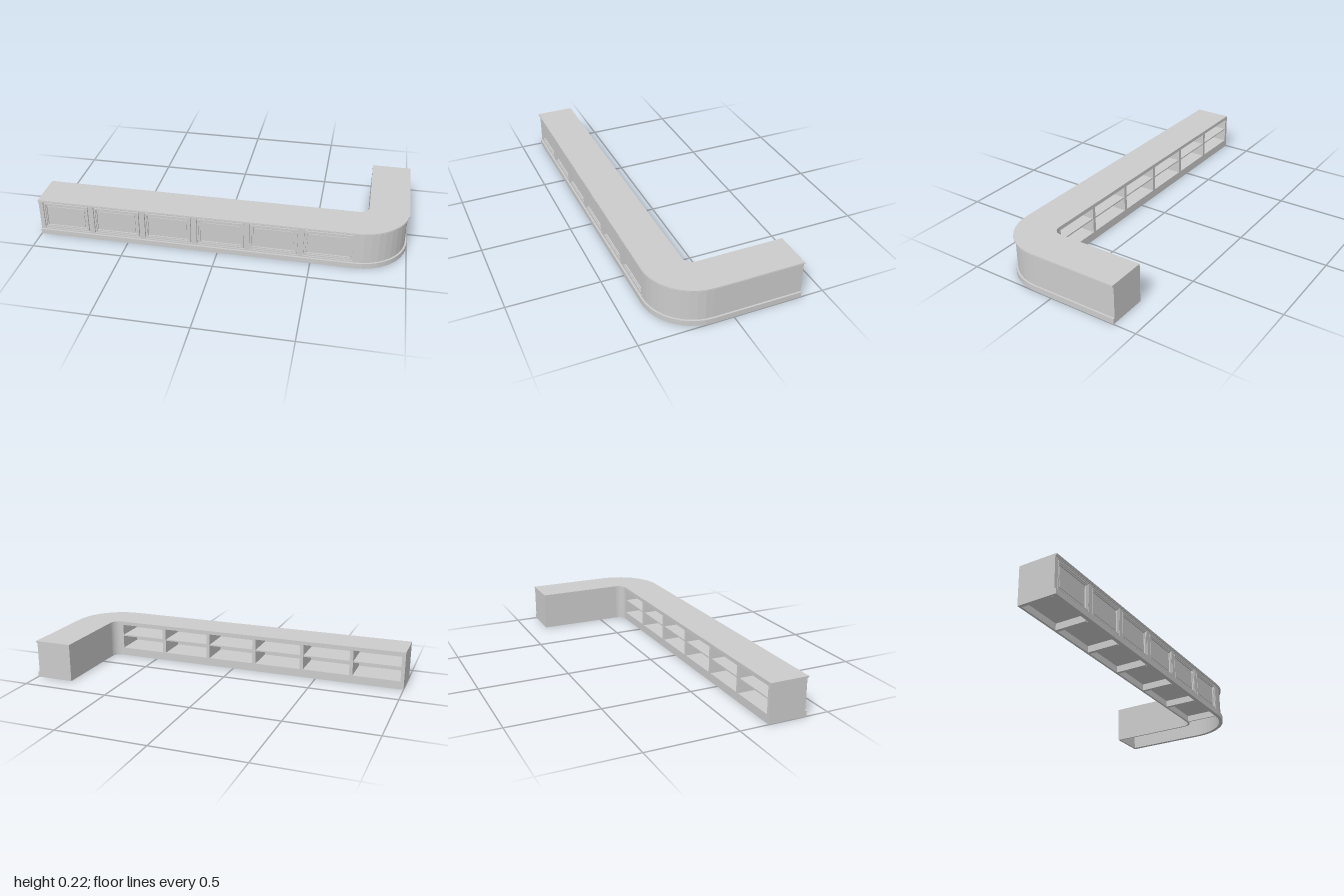
import * as THREE from 'three';

const material = new THREE.MeshStandardMaterial({ color: 0xcccccc, side: THREE.DoubleSide });
// Bend centre of the L-shaped counter and the limits of its two arms
const CX = 0.733, CZ = 0.108, X_END = -1, Z_END = -0.375;
const R_OUT = 0.267, R_IN = 0.05;
const BAYS = 6, PITCH = 0.2875, FIRST = -0.99;

export function createModel() {
  const model = new THREE.Group();

  function add(name, geometry, parent = model) {
    const mesh = new THREE.Mesh(geometry, material);
    mesh.name = name;
    parent.add(mesh);
    return mesh;
  }

  // Box given by its limits on each axis
  function box(name, x0, x1, y0, y1, z0, z1, parent) {
    const g = new THREE.BoxGeometry(x1 - x0, y1 - y0, z1 - z0);
    g.translate((x0 + x1) / 2, (y0 + y1) / 2, (z0 + z1) / 2);
    return add(name, g, parent);
  }

  // Line that follows the counter at radius r around the bend
  function bendLine(r, xStart) {
    const pts = [new THREE.Vector2(xStart, -(CZ + r))];
    const steps = 10;
    for (let i = 0; i <= steps; i++) {
      const a = (i / steps) * Math.PI / 2;
      pts.push(new THREE.Vector2(CX + r * Math.sin(a), -(CZ + r * Math.cos(a))));
    }
    pts.push(new THREE.Vector2(CX + r, -Z_END));
    return pts;
  }

  // Upright band between two radii
  function band(name, rOuter, rInner, y0, y1, xStart = X_END) {
    const shape = new THREE.Shape([...bendLine(rOuter, xStart), ...bendLine(rInner, xStart).reverse()]);
    const g = new THREE.ExtrudeGeometry(shape, { depth: y1 - y0, bevelEnabled: false });
    g.rotateX(-Math.PI / 2);
    g.translate(0, y0, 0);
    return add(name, g);
  }

  function rectangle(PathType, x0, x1, y0, y1) {
    return new PathType([[x0, y0], [x1, y0], [x1, y1], [x0, y1]].map(p => new THREE.Vector2(...p)));
  }

  // Countertop with a stepped edge, and plinth
  band('countertopLip', R_OUT - 0.004, R_IN, 0.204, 0.208);
  band('countertop', R_OUT, R_IN, 0.208, 0.212);
  band('countertopUpperEdge', R_OUT - 0.002, R_IN, 0.212, 0.215);
  band('plinth', R_OUT, R_OUT - 0.022, 0, 0.03);

  // Curved hollow corner and short arm
  band('cornerOuterWall', R_OUT - 0.01, R_OUT - 0.022, 0.03, 0.204, CX);
  band('cornerInnerWall', R_IN + 0.01, R_IN, 0, 0.204, CX - 0.01);
  box('shortArmEnd', CX + R_IN, CX + R_OUT - 0.01, 0, 0.204, Z_END, Z_END + 0.012);

  // Straight front wall with an opening for each panel
  const front = CZ + R_OUT - 0.01;
  const back = CZ + R_IN;
  const wall = rectangle(THREE.Shape, X_END, CX, 0.03, 0.204);
  const bayStart = i => FIRST + i * PITCH;
  for (let i = 0; i < BAYS; i++) {
    const x = bayStart(i);
    wall.holes.push(rectangle(THREE.Path, x + 0.014, x + 0.272, 0.037, 0.198));
  }
  const wallGeometry = new THREE.ExtrudeGeometry(wall, { depth: 0.014, bevelEnabled: false });
  wallGeometry.translate(0, 0, front - 0.014);
  add('frontWall', wallGeometry);
  box('frontLining', X_END, CX, 0.03, 0.204, front - 0.026, front - 0.012);

  // Panels: two stepped mouldings around a raised field
  for (let i = 0; i < BAYS; i++) {
    const panel = new THREE.Group();
    panel.name = 'frontPanel' + (i + 1);
    model.add(panel);
    const x0 = bayStart(i) + 0.014, x1 = bayStart(i) + 0.272, y0 = 0.037, y1 = 0.198;
    const moulding = (name, inset, width, depth) => {
      const s = rectangle(THREE.Shape, x0 + inset, x1 - inset, y0 + inset, y1 - inset);
      const j = inset + width;
      s.holes.push(rectangle(THREE.Path, x0 + j, x1 - j, y0 + j, y1 - j));
      const g = new THREE.ExtrudeGeometry(s, { depth, bevelEnabled: false });
      g.translate(0, 0, front - 0.012);
      add(name, g, panel);
    };
    moulding('outerMoulding', 0.004, 0.008, 0.012);
    moulding('innerMoulding', 0.012, 0.006, 0.007);
    box('raisedField', x0 + 0.026, x1 - 0.026, y0 + 0.026, y1 - 0.026, front - 0.013, front - 0.008, panel);
  }

  // Open shelving at the back of the long arm
  const inside = front - 0.02;
  for (let i = 0; i <= BAYS; i++) {
    const x = bayStart(i);
    box('divider', x - 0.01, Math.min(x + 0.01, CX), 0, 0.204, back, inside);
  }
  box('bottomDeck', X_END, CX, 0.037, 0.047, back, inside);
  box('middleShelf', X_END, CX, 0.122, 0.13, back + 0.005, inside);
  box('backPlinth', X_END, CX, 0, 0.047, back, back + 0.012);
  box('backTopRail', X_END, CX, 0.194, 0.204, back, back + 0.012);
  box('longArmEnd', X_END, X_END + 0.012, 0, 0.204, back, front);

  return model;
}
